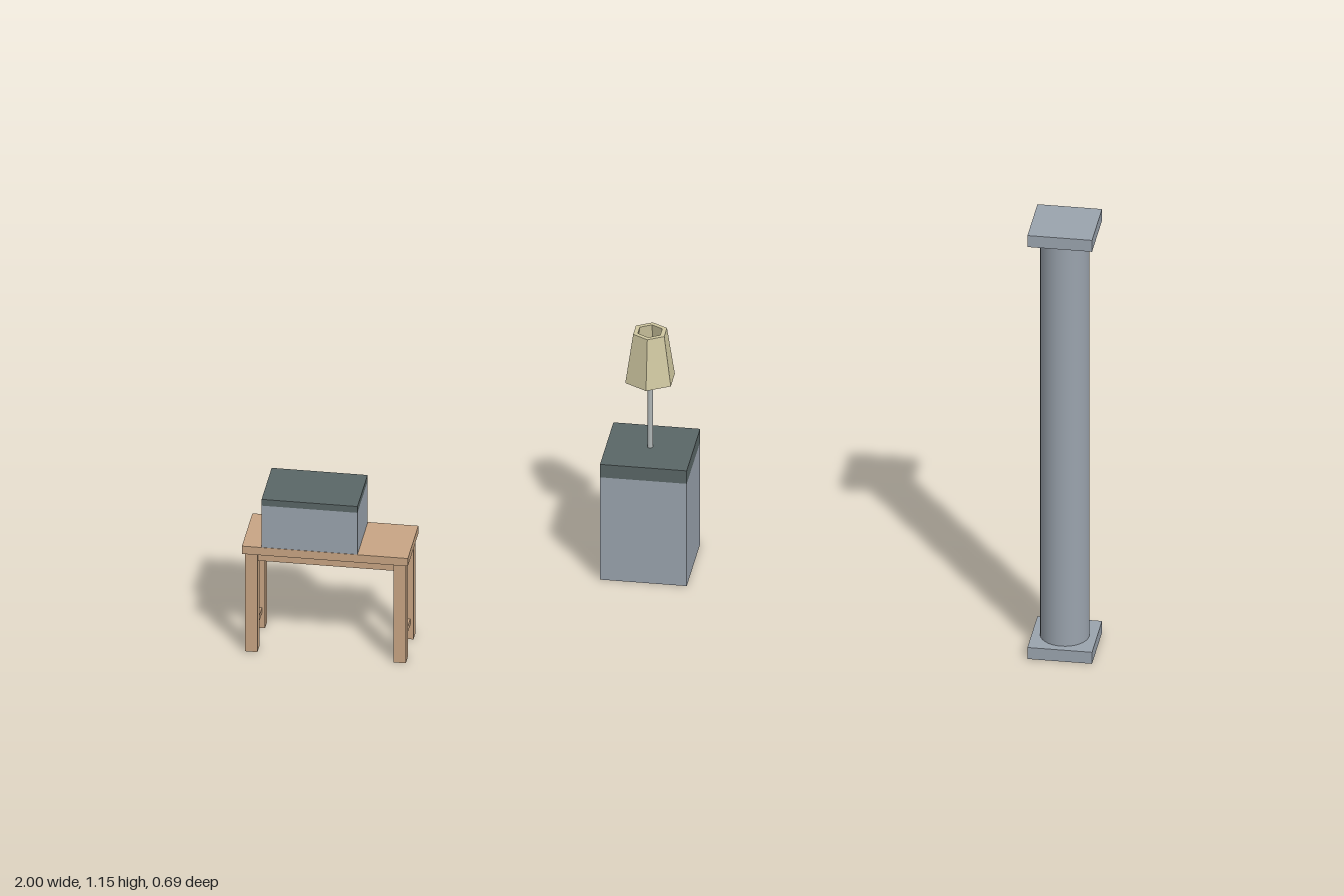
import * as THREE from 'three';

const mat = (name, color, extra = {}) => {
  const m = new THREE.MeshStandardMaterial({ color, ...extra });
  m.name = name;
  return m;
};

export function createModel() {
  const slate = mat('slate', 0x9aa3ad);
  const darkSlate = mat('darkSlate', 0x5a6666);
  const wood = mat('wood', 0xc8a584);
  const cream = mat('cream', 0xcfc7a0, { flatShading: true });
  const metal = mat('metal', 0xb2b8b8);

  const model = new THREE.Group();
  const group = (name, x, z) => {
    const g = new THREE.Group();
    g.name = name;
    g.position.set(x, 0, z);
    model.add(g);
    return g;
  };
  const add = (parent, name, geometry, material, x, y, z) => {
    const mesh = new THREE.Mesh(geometry, material);
    mesh.name = name;
    mesh.position.set(x, y, z);
    parent.add(mesh);
  };
  // box given by its bottom and top heights
  const box = (parent, name, material, w, y0, y1, d, x = 0, z = 0) =>
    add(parent, name, new THREE.BoxGeometry(w, y1 - y0, d), material, x, (y0 + y1) / 2, z);

  // Column with square base and capital
  const column = group('column', 0.922, 0.015);
  box(column, 'columnBase', slate, 0.155, 0, 0.031, 0.155);
  box(column, 'columnCapital', slate, 0.155, 1.116, 1.147, 0.155);
  add(column, 'columnShaft', new THREE.CylinderGeometry(0.059, 0.059, 1.085, 32, 1, true),
    slate, 0, 0.5735, 0);

  // Cabinet with a dark top
  const cabinet = group('cabinet', -0.112, -0.24);
  box(cabinet, 'cabinetBody', slate, 0.208, 0, 0.277, 0.208);
  box(cabinet, 'cabinetTop', darkSlate, 0.208, 0.277, 0.312, 0.208);

  // Lamp: thin pole and an open six-sided shade with some wall thickness
  const lamp = group('lamp', -0.112, -0.24);
  add(lamp, 'lampPole', new THREE.CylinderGeometry(0.0065, 0.0065, 0.25, 12), metal, 0, 0.437, 0);
  const shadeProfile = [[0.063, 0.497], [0.043, 0.625], [0.031, 0.625], [0.051, 0.497], [0.063, 0.497]]
    .map(([r, y]) => new THREE.Vector2(r, y));
  add(lamp, 'lampShade', new THREE.LatheGeometry(shadeProfile, 6), cream, 0, 0, 0);

  // Table: top, apron, four legs and a low stretcher at each end
  const table = group('table', -0.801, 0.265);
  box(table, 'tableTop', wood, 0.398, 0.267, 0.288, 0.162);
  box(table, 'tableApron', wood, 0.36, 0.244, 0.267, 0.134);
  for (const sx of [-1, 1]) {
    for (const sz of [-1, 1]) {
      box(table, 'tableLeg', wood, 0.03, 0, 0.267, 0.03, sx * 0.178, sz * 0.059);
    }
    box(table, 'tableStretcher', wood, 0.015, 0.04, 0.055, 0.09, sx * 0.178);
  }

  // Lidded chest standing on the table
  const chest = group('chest', -0.838, 0.267);
  box(chest, 'chestBody', slate, 0.23, 0.288, 0.401, 0.156);
  box(chest, 'chestLid', darkSlate, 0.23, 0.401, 0.418, 0.156);

  return model;
}
